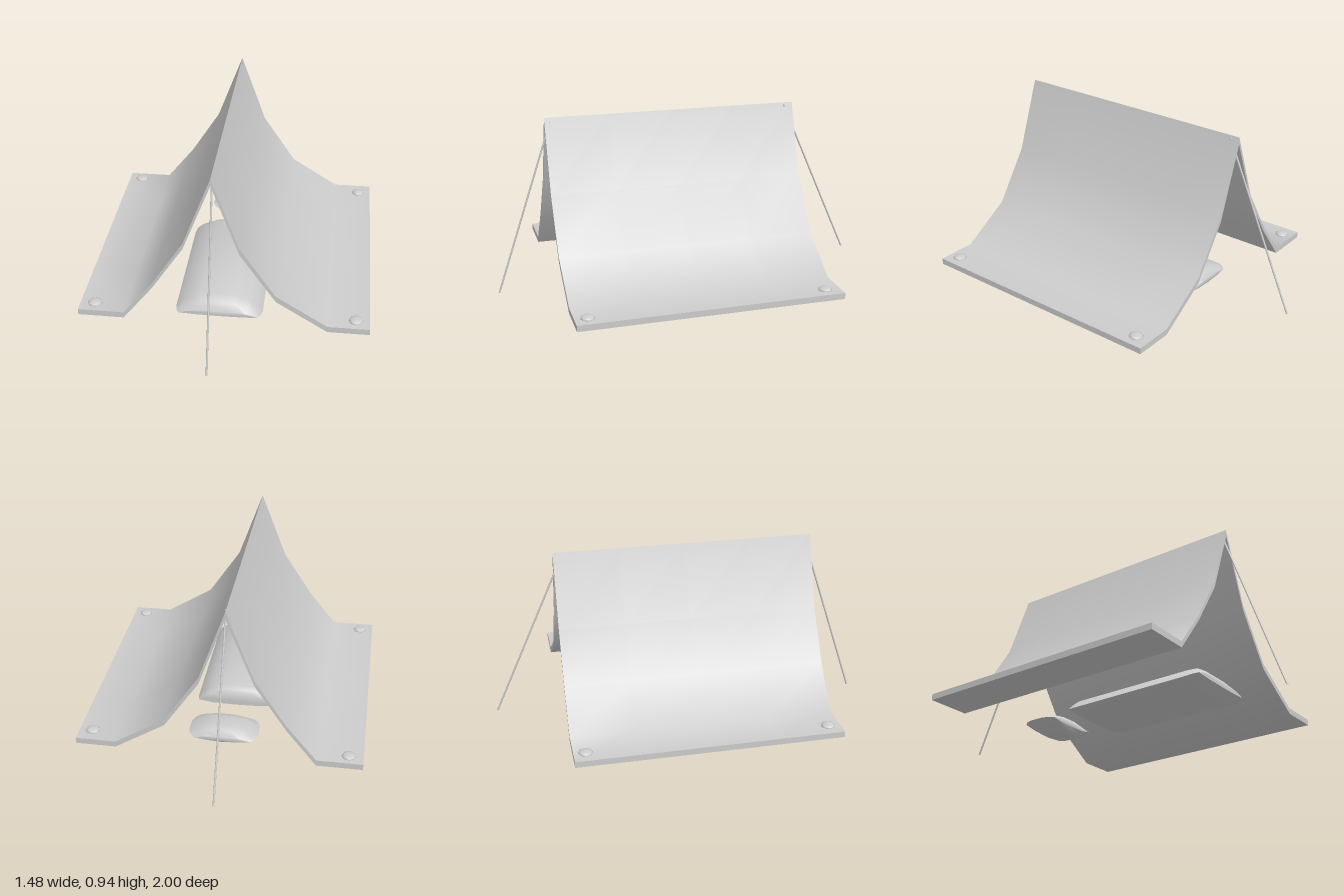
import * as THREE from 'three';
import { toCreasedNormals } from 'three/addons/utils/BufferGeometryUtils.js';

const material = new THREE.MeshStandardMaterial({ color: 0xcccccc, side: THREE.DoubleSide });

function addMesh(group, name, geometry) {
  const mesh = new THREE.Mesh(geometry, material);
  mesh.name = name;
  group.add(mesh);
  return mesh;
}

// Thin straight rod between two points
function rod(from, to, radius) {
  const path = new THREE.LineCurve3(new THREE.Vector3(...from), new THREE.Vector3(...to));
  return new THREE.TubeGeometry(path, 1, radius, 8, false);
}

// Soft cushion: one cross-section lofted along z; each station is [z, width scale, height scale]
function cushion(section, stations, centreX, centreY) {
  const positions = [], index = [], n = section.length;
  for (const [z, sx, sy] of stations)
    for (const [x, y] of section)
      positions.push(centreX + (x - centreX) * sx, centreY + (y - centreY) * sy, z);
  for (let s = 0; s < stations.length - 1; s++)
    for (let i = 0; i < n; i++) {
      const a = s * n + i, b = s * n + (i + 1) % n;
      index.push(a, a + n, b, b, a + n, b + n);
    }
  // End caps
  const last = (stations.length - 1) * n, front = positions.length / 3;
  positions.push(centreX, centreY, stations[0][0]);
  positions.push(centreX, centreY, stations[stations.length - 1][0]);
  for (let i = 0; i < n; i++) {
    const j = (i + 1) % n;
    index.push(front, i, j, front + 1, last + j, last + i);
  }
  const geometry = new THREE.BufferGeometry();
  geometry.setAttribute('position', new THREE.Float32BufferAttribute(positions, 3));
  geometry.setIndex(index);
  return toCreasedNormals(geometry, 0.9);
}

export function createModel() {
  const tent = new THREE.Group();
  tent.name = 'tent';

  // Canvas sheet: folded profile with flat side flaps, swept along z
  const outer = [[-0.74, 0.125], [-0.505, 0.125], [-0.35, 0.32], [-0.19, 0.57], [-0.05, 0.94],
    [0.085, 0.56], [0.265, 0.29], [0.525, 0.125], [0.735, 0.125]];
  const inner = [[0.735, 0.093], [0.525, 0.093], [0.265, 0.258], [0.085, 0.525], [-0.05, 0.903],
    [-0.19, 0.54], [-0.35, 0.293], [-0.505, 0.093], [-0.74, 0.093]];
  const profile = new THREE.Shape([...outer, ...inner].map(([x, y]) => new THREE.Vector2(x, y)));
  const sheet = new THREE.ExtrudeGeometry(profile, { depth: 1.37, steps: 4, bevelEnabled: false });
  sheet.translate(0, 0, -0.65);
  addMesh(tent, 'canvas', toCreasedNormals(sheet, 0.9));

  // Leaning poles at the two open ends
  addMesh(tent, 'frontPole', rod([-0.043, 0, 1], [-0.046, 0.92, 0.69], 0.005));
  addMesh(tent, 'backPole', rod([-0.043, 0.06, -0.99], [-0.046, 0.93, -0.6], 0.005));

  // Domed pegs on the flap corners
  for (const [x, z] of [[-0.665, 0.655], [0.665, 0.655], [-0.665, -0.59], [0.665, -0.57]]) {
    const peg = addMesh(tent, 'peg', new THREE.SphereGeometry(0.037, 8, 8));
    peg.scale.y = 0.42;
    peg.position.set(x, 0.126, z);
  }

  // Bedding on the floor
  const bedSection = [[-0.26, 0.075], [-0.215, 0.125], [-0.13, 0.165], [0.05, 0.165], [0.12, 0.14],
    [0.165, 0.105], [0.19, 0.073], [0.11, 0.055], [-0.03, 0.051], [-0.17, 0.057]];
  const bedStations = [[0.64, 0.9, 0.25], [0.61, 0.97, 0.65], [0.565, 1, 1],
    [-0.11, 1, 1], [-0.14, 0.98, 0.85], [-0.155, 0.95, 0.6]];
  addMesh(tent, 'bedroll', cushion(bedSection, bedStations, -0.035, 0.09));

  // Pillow behind the bedroll
  const pillowSection = [[-0.19, 0.107], [-0.12, 0.142], [-0.05, 0.155], [0.05, 0.155], [0.11, 0.142],
    [0.175, 0.107], [0.1, 0.074], [0, 0.065], [-0.11, 0.074]];
  const pillowStations = [[-0.33, 0.8, 0.3], [-0.355, 0.93, 0.8], [-0.39, 1, 1],
    [-0.47, 1, 1], [-0.505, 0.93, 0.8], [-0.53, 0.8, 0.3]];
  addMesh(tent, 'pillow', cushion(pillowSection, pillowStations, -0.01, 0.107));

  return tent;
}
